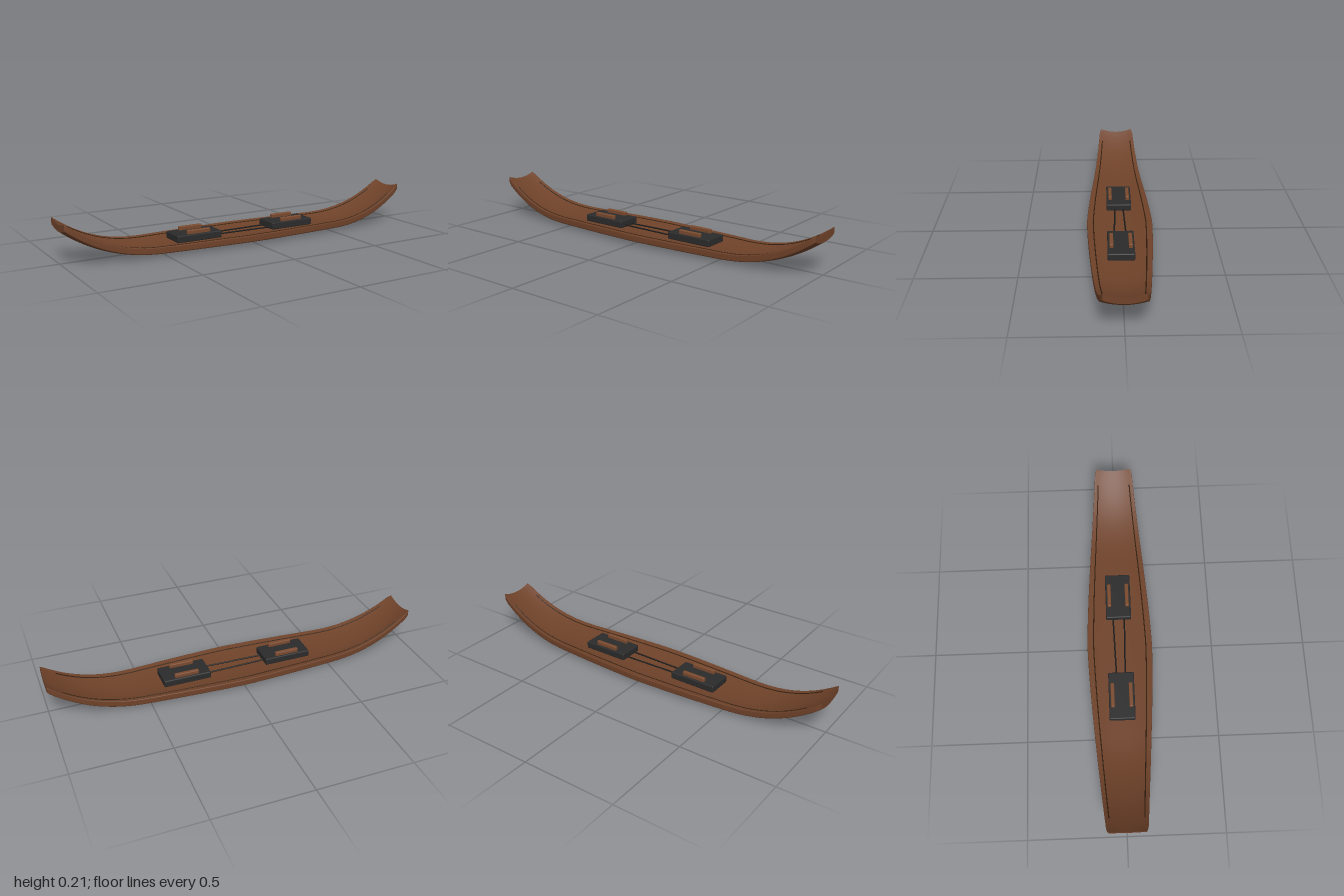
import * as THREE from 'three';
import { RoundedBoxGeometry } from 'three/addons/geometries/RoundedBoxGeometry.js';

const mat = (name, color, side = THREE.FrontSide) => {
  const m = new THREE.MeshStandardMaterial({ color, side });
  m.name = name;
  return m;
};

// Plan outline, rocker and deck height of the board
const halfWidth = (x) => {
  const a = Math.abs(x), tip = Math.max(0, (a - 0.97) / 0.03);
  return 0.174 - 0.073 * Math.pow(a, 1.4) - 0.007 * tip * tip;
};
const rise = (x) => 0.16 * Math.pow(Math.max(0, (Math.abs(x) - 0.5) / 0.5), 2.4);
const deckY = (x, z) => {
  const u = z / halfWidth(x);
  return rise(x) + 0.035 + 0.019 * u * u;
};

// Cross-section as [u, y]: cupped deck, rounded rails, bowed bottom
function section() {
  const ring = [], n = 20;
  for (let i = 0; i <= n; i++) {
    const u = -0.975 + 1.95 * i / n;
    ring.push([u, 0.035 + 0.019 * u * u]);
  }
  ring.push([0.992, 0.0525], [1, 0.0495], [1, 0.025], [0.992, 0.0215]);
  for (let i = 0; i <= n; i++) {
    const u = 0.975 - 1.95 * i / n;
    ring.push([u, 0.002 + 0.018 * u * u]);
  }
  ring.push([-0.992, 0.0215], [-1, 0.025], [-1, 0.0495], [-0.992, 0.0525]);
  return ring;
}

function boardGeometry() {
  const ring = section(), m = ring.length, pos = [], idx = [];
  const xs = [];
  for (let i = 0; i <= 80; i++) xs.push(-Math.cos(Math.PI * i / 80));
  const addRing = (x) => ring.forEach(([u, y]) => pos.push(x, y + rise(x), u * halfWidth(x)));
  xs.forEach(addRing);
  for (let i = 0; i < xs.length - 1; i++) {
    for (let j = 0; j < m; j++) {
      const a = i * m + j, b = i * m + (j + 1) % m;
      idx.push(a, b, a + m, b, b + m, a + m);
    }
  }
  // End caps join deck and bottom points straight across
  for (const end of [-1, 1]) {
    const s = pos.length / 3;
    addRing(end);
    for (let j = 0; j < 20; j++) {
      const a = s + j, b = a + 1, c = s + 45 - j - 1, d = c - 0;
      const lo = d, lo2 = d - 1;
      if (end > 0) idx.push(a, b, lo2, a, lo2, lo);
      else idx.push(a, lo2, b, a, lo, lo2);
    }
    const rails = [[20, 21, 22, 23, 24, 25], [44, 45, 46, 47, 48, 0]];
    for (const r of rails) {
      for (let k = 1; k < r.length - 1; k++) {
        const t = [s + r[0], s + r[k], s + r[k + 1]];
        if (end < 0) t.reverse();
        idx.push(...t);
      }
    }
  }
  const g = new THREE.BufferGeometry();
  g.setAttribute('position', new THREE.Float32BufferAttribute(pos, 3));
  g.setIndex(idx);
  g.computeVertexNormals();
  return g;
}

export function createModel() {
  const root = new THREE.Group();
  const wood = mat('wood brown', 0x6f4229, THREE.DoubleSide);
  const strapBrown = mat('strap brown', 0x7a4a2e);
  const groove = mat('dark brown', 0x35200f);
  const plateBlack = mat('plate charcoal', 0x2b2b2b);
  const cordBlack = mat('cord black', 0x1a1a1a);

  const add = (name, geo, material, parent = root) => {
    const mesh = new THREE.Mesh(geo, material);
    mesh.name = name;
    parent.add(mesh);
    return mesh;
  };

  add('board', boardGeometry(), wood);

  // Thin inlay line following each rail
  for (const s of [-1, 1]) {
    const pts = [];
    for (let i = 0; i <= 40; i++) {
      const x = -0.93 + 1.86 * i / 40, z = s * halfWidth(x) * 0.81;
      pts.push(new THREE.Vector3(x, deckY(x, z), z));
    }
    add('edgeInlay', new THREE.TubeGeometry(new THREE.CatmullRomCurve3(pts), 120, 0.003, 6), groove);
  }

  // Foot plates with a pair of strap bars each
  for (const s of [-1, 1]) {
    const binding = new THREE.Group();
    binding.name = 'binding';
    binding.position.x = s * 0.283;
    root.add(binding);
    add('footPlate', new RoundedBoxGeometry(0.254, 0.038, 0.136, 2, 0.006), plateBlack, binding).position.y = 0.056;
    for (const t of [-1, 1]) {
      add('strapBar', new RoundedBoxGeometry(0.13, 0.03, 0.02, 2, 0.005), strapBrown, binding)
        .position.set(0, 0.08, t * 0.048);
    }
  }

  // Cords joining the two plates
  for (const s of [-1, 1]) {
    const pts = [-0.17, -0.085, 0, 0.085, 0.17].map((x, i) =>
      new THREE.Vector3(x, 0.046, s * (0.023 + 0.002 * i)));
    add('cord', new THREE.TubeGeometry(new THREE.CatmullRomCurve3(pts), 24, 0.004, 8), cordBlack);
  }
  return root;
}
